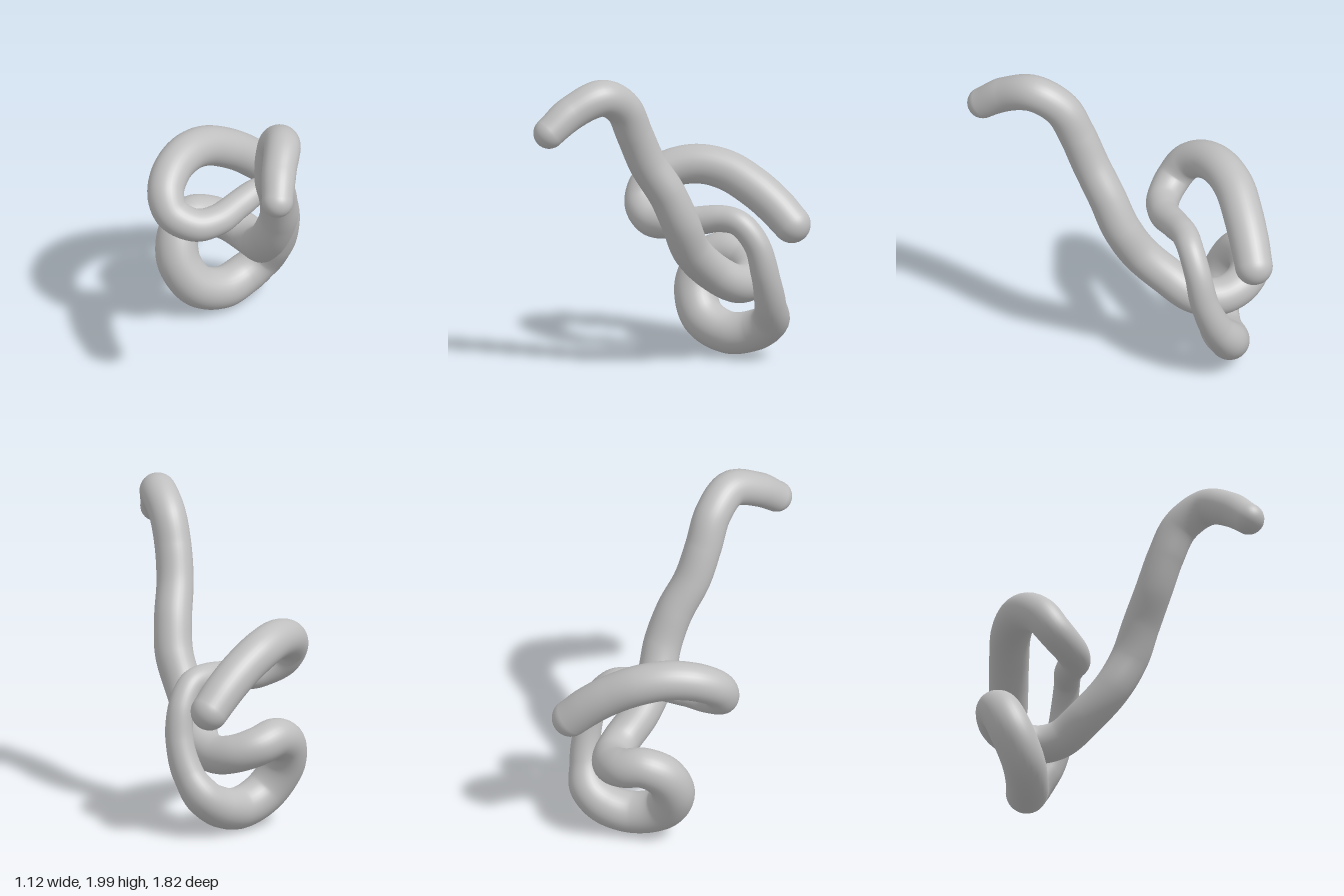
import * as THREE from 'three';

// Centre line and thickness of the knotted cord: x, y, z, radius
const PATH = [
  [-0.45, 1.70, 0.81, 0.098],
  [-0.36, 1.81, 0.69, 0.108],
  [-0.23, 1.885, 0.53, 0.115],
  [-0.165, 1.79, 0.37, 0.115],
  [-0.13, 1.60, 0.275, 0.115],
  [-0.08, 1.40, 0.20, 0.116],
  [0.01, 1.20, 0.115, 0.118],
  [0.065, 1.00, 0.04, 0.12],
  [0.08, 0.80, -0.075, 0.12],
  [0.13, 0.64, -0.235, 0.12],
  [0.21, 0.525, -0.40, 0.12],
  [0.225, 0.50, -0.55, 0.12],
  [0.18, 0.53, -0.69, 0.12],
  [0.08, 0.575, -0.775, 0.123],
  [-0.05, 0.605, -0.785, 0.126],
  [-0.165, 0.54, -0.745, 0.132],
  [-0.208, 0.39, -0.68, 0.136],
  [-0.125, 0.22, -0.61, 0.135],
  [0.06, 0.142, -0.595, 0.132],
  [0.24, 0.175, -0.61, 0.128],
  [0.365, 0.26, -0.585, 0.118],
  [0.413, 0.40, -0.495, 0.098],
  [0.418, 0.60, -0.42, 0.088],
  [0.375, 0.80, -0.385, 0.082],
  [0.27, 0.925, -0.36, 0.081],
  [0.15, 0.945, -0.35, 0.084],
  [0, 0.92, -0.32, 0.09],
  [-0.18, 0.888, -0.285, 0.097],
  [-0.33, 0.89, -0.31, 0.104],
  [-0.44, 0.965, -0.40, 0.11],
  [-0.435, 1.07, -0.48, 0.115],
  [-0.33, 1.155, -0.57, 0.12],
  [-0.17, 1.187, -0.645, 0.124],
  [0, 1.155, -0.695, 0.126],
  [0.18, 1.065, -0.715, 0.125],
  [0.32, 0.965, -0.725, 0.123],
  [0.44, 0.855, -0.73, 0.118],
];
const SEGMENTS = 320;
const SIDES = 32;

// Smooth radius at curve parameter t
function radiusAt(t) {
  const f = t * (PATH.length - 1);
  const i = Math.min(Math.floor(f), PATH.length - 2);
  return THREE.MathUtils.lerp(PATH[i][3], PATH[i + 1][3], THREE.MathUtils.smoothstep(f - i, 0, 1));
}

export function createModel() {
  const group = new THREE.Group();
  group.name = 'knottedCord';
  const material = new THREE.MeshStandardMaterial({ color: 0xbfbfbf });
  material.name = 'light grey';

  const curve = new THREE.CatmullRomCurve3(
    PATH.map(([x, y, z]) => new THREE.Vector3(x, y, z)), false, 'centripetal');
  curve.arcLengthDivisions = 800;

  // Unit-radius tube whose rings are scaled to the local thickness
  const geometry = new THREE.TubeGeometry(curve, SEGMENTS, 1, SIDES, false);
  const position = geometry.attributes.position;
  const v = new THREE.Vector3();
  for (let i = 0; i <= SEGMENTS; i++) {
    const u = i / SEGMENTS;
    const centre = curve.getPointAt(u);
    const radius = radiusAt(curve.getUtoTmapping(u));
    for (let j = 0; j <= SIDES; j++) {
      const k = i * (SIDES + 1) + j;
      v.fromBufferAttribute(position, k).sub(centre).multiplyScalar(radius).add(centre);
      position.setXYZ(k, v.x, v.y, v.z);
    }
  }
  const cord = new THREE.Mesh(geometry, material);
  cord.name = 'cord';
  group.add(cord);

  // Rounded tips
  for (const [name, t] of [['upperTip', 0], ['lowerTip', 1]]) {
    const tip = new THREE.Mesh(new THREE.SphereGeometry(radiusAt(t), SIDES, 20), material);
    tip.name = name;
    tip.position.copy(curve.getPoint(t));
    group.add(tip);
  }
  return group;
}
